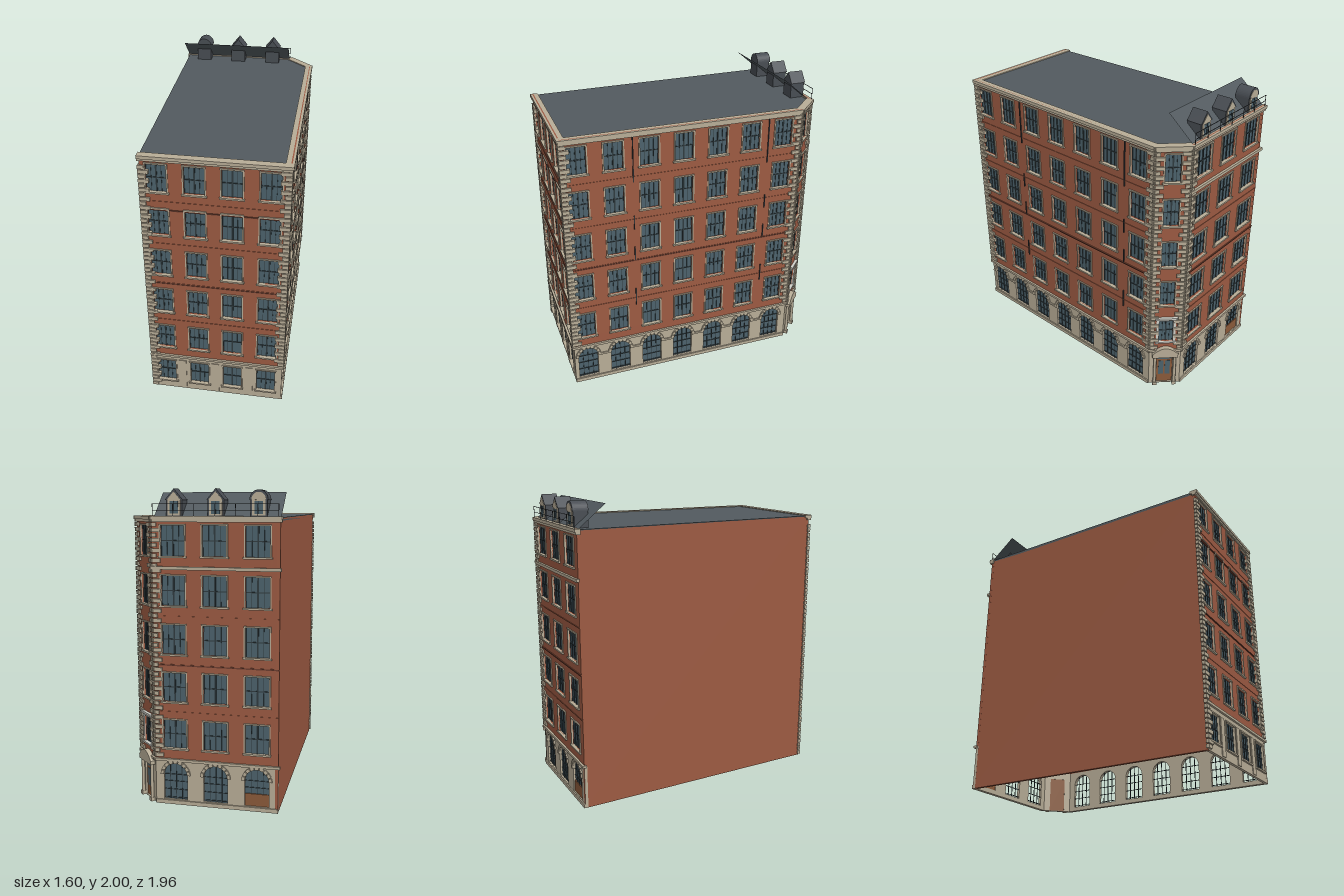
import * as THREE from 'three';
import { mergeGeometries } from 'three/addons/utils/BufferGeometryUtils.js';

const COLORS = {
  brick: 0x9c5a42, darkBrick: 0x6b3d2f, stone: 0xb8ad97, glass: 0x4c626c, frame: 0x2f3a3e,
  roof: 0x525a5f, dormer: 0x484d53, wood: 0x8a5a3a, metal: 0x303336, whiteStone: 0xd0d0c8,
};
const mats = {};
for (const k in COLORS) mats[k] = new THREE.MeshStandardMaterial({ color: COLORS[k] });
mats.roof.side = THREE.DoubleSide;

// Footprint corners (x, z), anticlockwise seen from above
const A = [-0.055, 0.955], B = [0.775, 0.61], C = [0.14, -0.885], D = [-0.06, -0.965], E = [-0.79, -0.645];
const TOP = 1.825, BASE = 0.3, PITCH = 0.305;

// Collects geometry by part name and colour, merging each into one mesh
class Facade {
  constructor(name, p, q) {
    this.group = new THREE.Group();
    this.group.name = name;
    const dx = q[0] - p[0], dz = q[1] - p[1];
    this.len = Math.hypot(dx, dz);
    this.group.position.set(p[0], 0, p[1]);
    this.group.rotation.y = Math.atan2(-dz, dx);
    this.parts = new Map();
    this.holes = [];
  }
  add(name, color, geo) {
    const key = name + '|' + color;
    if (!this.parts.has(key)) this.parts.set(key, []);
    this.parts.get(key).push(geo.index ? geo.toNonIndexed() : geo);
  }
  box(name, color, x0, x1, y0, y1, z0, z1) {
    const g = new THREE.BoxGeometry(x1 - x0, y1 - y0, z1 - z0);
    this.add(name, color, g.translate((x0 + x1) / 2, (y0 + y1) / 2, (z0 + z1) / 2));
  }
  wall(color, y0, y1) {
    const s = rectPath(new THREE.Shape(), 0, this.len, y0, y1);
    s.holes = this.holes.filter(h => h.y >= y0 && h.y < y1).map(h => h.path);
    const g = new THREE.ExtrudeGeometry(s, { depth: 0.02, bevelEnabled: false, curveSegments: 8 });
    this.add('wall', color, g.translate(0, 0, -0.02));
  }
  finish() {
    for (const [key, geos] of this.parts) {
      const [name, color] = key.split('|');
      const m = new THREE.Mesh(mergeGeometries(geos), mats[color]);
      m.name = name;
      this.group.add(m);
    }
    return this.group;
  }
}

function rectPath(p, x0, x1, y0, y1) {
  p.moveTo(x0, y0); p.lineTo(x1, y0); p.lineTo(x1, y1); p.lineTo(x0, y1); p.closePath();
  return p;
}

// Sash window with glazing bars, surround and sill
function addWindow(f, cx, y0, y1, w, trim = 'stone', t = 0.009) {
  const x0 = cx - w / 2, x1 = cx + w / 2;
  f.holes.push({ y: y0, path: rectPath(new THREE.Path(), x0, x1, y0, y1) });
  f.box('windowGlass', 'glass', x0, x1, y0, y1, -0.018, -0.013);
  const bar = (a, b, c, d) => f.box('windowBars', 'frame', a, b, c, d, -0.014, -0.009);
  const ym = (y0 + y1) / 2;
  bar(cx - 0.005, cx + 0.005, y0, y1);
  bar(x0, x1, ym - 0.003, ym + 0.003);
  for (const s of [-1, 1]) {
    bar(cx + s * w / 2 - 0.003, cx + s * w / 2 + 0.003, y0, y1);
    bar(cx + s * w / 4 - 0.0012, cx + s * w / 4 + 0.0012, y0, y1);
    const e = cx + s * (w + t) / 2;
    f.box('windowSurround', trim, e - t / 2, e + t / 2, y0, y1 + t, -0.005, 0.006);
  }
  f.box('windowSurround', trim, x0 - t, x1 + t, y1, y1 + t, -0.005, 0.008);
  f.box('windowSill', trim, x0 - t - 0.006, x1 + t + 0.006, y0 - 0.011, y0, -0.015, 0.013);
}

// Round-headed shop window with a ring of wedge stones
function addArch(f, cx, w, panel) {
  const r = w / 2, y0 = 0.03, ys = 0.273 - r;
  const outline = p => { p.moveTo(cx - r, y0); p.lineTo(cx + r, y0); p.lineTo(cx + r, ys); p.absarc(cx, ys, r, 0, Math.PI); p.closePath(); return p; };
  f.holes.push({ y: y0, path: outline(new THREE.Path()) });
  f.add('archGlass', 'glass', new THREE.ShapeGeometry(outline(new THREE.Shape()), 8).translate(0, 0, -0.015));
  for (let i = -1; i <= 1; i++) f.box('archBars', 'frame', cx + i * r * 0.5 - 0.002, cx + i * r * 0.5 + 0.002, y0, ys + r * (i ? 0.85 : 1), -0.015, -0.01);
  for (const y of [0.04, 0.095, 0.15, ys]) f.box('archBars', 'frame', cx - r, cx + r, y - 0.002, y + 0.002, -0.015, -0.01);
  if (panel) f.box('woodPanel', 'wood', cx - r, cx + r, y0, 0.11, -0.016, -0.008);
  const n = 9;
  for (let i = 0; i < n; i++) {
    const a = i * Math.PI / n + 0.03, b = (i + 1) * Math.PI / n - 0.03, R = r + (i === 4 ? 0.027 : 0.021);
    const s = new THREE.Shape();
    s.absarc(cx, ys, R, a, b, false);
    s.absarc(cx, ys, r, b, a, true);
    f.add('archStones', 'stone', new THREE.ExtrudeGeometry(s, { depth: 0.012, bevelEnabled: false, curveSegments: 2 }).translate(0, 0, -0.002));
  }
}

// Alternating long and short corner blocks; side 0 = start, 1 = end of the wall
function addQuoins(f, side, y0, phase) {
  for (let i = 0, y = y0; y < TOP - 0.05; i++, y += 0.031) {
    const l = (i + phase) % 2 ? 0.055 : 0.03, h = 0.024;
    const x = side ? f.len : 0, s = side ? -1 : 1;
    f.box('cornerStones', 'stone', Math.min(x - s * 0.01, x + s * l), Math.max(x - s * 0.01, x + s * l), y, y + h, -0.01, 0.011);
  }
}

// Ledge above the ground floor and coping at the roof edge
function addLedges(f, inward) {
  const a = -0.011, b = f.len + 0.011;
  f.box('groundCornice', 'stone', a, b, 0.288, 0.305, -0.01, 0.014);
  f.box('roofCornice', 'stone', a, b, 1.8, 1.815, -0.02, 0.011);
  f.box('roofCoping', 'stone', a, b, 1.815, 1.836, -inward, 0.017);
}

function addFloors(f, xs, w, first = 0) {
  for (let i = first; i < 5; i++) for (const x of xs) addWindow(f, x, 0.375 + i * PITCH, 0.56 + i * PITCH, w);
}

// Thin brick courses and dark string lines
function addCourses(f, dark) {
  for (let i = 0; i < 5; i++) {
    const y = 0.61 + i * PITCH;
    f.box('brickCourse', 'brick', 0, f.len, y, y + 0.006, -0.005, 0.003);
  }
  for (const y of dark) f.box('stringCourse', 'darkBrick', 0, f.len, y - 0.004, y + 0.004, -0.005, 0.006);
}

function addPipe(f, x) {
  for (const [y0, y1] of [[0.56, 0.69], [0.92, 1.02], [1.15, 1.25], [1.49, 1.8]]) f.box('drainPipe', 'metal', x - 0.003, x + 0.003, y0, y1, 0, 0.007);
}

function addDormer(f, u, round) {
  const hw = 0.056, z0 = -0.11, z1 = -0.012, yb = 1.932;
  f.box('dormerBody', 'dormer', u - hw + 0.005, u + hw - 0.005, 1.83, yb, z0, z1);
  const roofShape = (x, h) => {
    const s = new THREE.Shape();
    s.moveTo(u + x, yb);
    if (round) s.absellipse(u, yb, x, h, 0, Math.PI); else { s.lineTo(u, yb + h); s.lineTo(u - x, yb); }
    s.closePath();
    return s;
  };
  const ext = (s, d, z) => new THREE.ExtrudeGeometry(s, { depth: d, bevelEnabled: false, curveSegments: 10 }).translate(0, 0, z);
  f.add('dormerRoof', 'dormer', ext(roofShape(hw, round ? 0.06 : 0.068), z1 - z0 + 0.006, z0));
  f.add('dormerGable', 'stone', ext(roofShape(hw - 0.012, round ? 0.046 : 0.05), 0.004, z1 + 0.004));
  f.box('dormerSurround', 'stone', u - 0.04, u + 0.04, 1.84, yb, z1, z1 + 0.006);
  f.box('dormerGlass', 'glass', u - 0.026, u + 0.026, 1.85, yb - 0.008, z1, z1 + 0.008);
  f.box('dormerBars', 'frame', u - 0.002, u + 0.002, 1.85, yb - 0.008, z1, z1 + 0.01);
}

export function createModel() {
  const model = new THREE.Group();
  model.name = 'cornerBuilding';
  const done = f => { f.wall('stone', 0, BASE); f.wall('brick', BASE, TOP); model.add(f.finish()); };

  // Front: four bays with plain stone ground floor
  let f = new Facade('frontFacade', A, B);
  const bays = [0.11, 0.366, 0.62, 0.878].map(t => t * f.len);
  addFloors(f, bays, 0.125);
  for (const x of bays) addWindow(f, x, 0.07, 0.25, 0.125);
  for (const t of [0.235, 0.49, 0.75]) f.box('pilaster', 'stone', t * f.len - 0.025, t * f.len + 0.025, 0.01, 0.26, -0.005, 0.005);
  addQuoins(f, 0, 0.01, 0);
  addQuoins(f, 1, 0.315, 0);
  addCourses(f, [0.915, 1.47]);
  addLedges(f, 0.035);
  done(f);

  // Long street side: seven bays over arches
  f = new Facade('longFacade', B, C);
  const long = [...Array(7)].map((_, i) => 0.097 + i * 0.2338);
  addFloors(f, long, 0.122);
  for (const x of long) addArch(f, x, 0.138);
  for (let i = 0; i < 6; i++) f.box('springBand', 'stone', long[i] + 0.072, long[i + 1] - 0.072, 0.198, 0.212, -0.005, 0.009);
  f.box('plinth', 'stone', 0, f.len, 0, 0.026, -0.005, 0.008);
  addQuoins(f, 0, 0.315, 1);
  addQuoins(f, 1, 0.315, 0);
  addCourses(f, [0.915]);
  addPipe(f, 0.455);
  addPipe(f, 1.39);
  addLedges(f, 0.035);
  done(f);

  // Cut corner with entrance
  f = new Facade('entranceFacade', C, D);
  const m = f.len / 2;
  addFloors(f, [m], 0.095, 1);
  addWindow(f, m, 0.375, 0.55, 0.095, 'whiteStone', 0.018);
  f.box('windowHood', 'whiteStone', m - 0.075, m + 0.075, 0.566, 0.58, -0.005, 0.02);
  f.holes.push({ y: 0.004, path: rectPath(new THREE.Path(), m - 0.055, m + 0.055, 0.004, 0.25) });
  f.box('door', 'wood', m - 0.055, m + 0.055, 0.004, 0.25, -0.018, -0.012);
  f.box('doorGlass', 'glass', m - 0.04, m - 0.005, 0.07, 0.19, -0.014, -0.01);
  f.box('doorGlass', 'glass', m + 0.005, m + 0.04, 0.07, 0.19, -0.014, -0.01);
  f.box('doorGlass', 'glass', m - 0.05, m + 0.05, 0.205, 0.245, -0.014, -0.01);
  for (const s of [-1, 1]) {
    f.add('doorColumn', 'stone', new THREE.CylinderGeometry(0.01, 0.011, 0.24, 10).translate(m + s * 0.068, 0.13, 0.012));
    f.box('columnFoot', 'stone', m + s * 0.068 - 0.014, m + s * 0.068 + 0.014, 0, 0.025, 0, 0.026);
  }
  f.box('doorLintel', 'stone', m - 0.088, m + 0.088, 0.25, 0.275, -0.005, 0.03);
  const ped = new THREE.Shape();
  ped.moveTo(m - 0.09, 0.275); ped.lineTo(m + 0.09, 0.275); ped.quadraticCurveTo(m, 0.385, m - 0.09, 0.275);
  f.add('doorPediment', 'stone', new THREE.ExtrudeGeometry(ped, { depth: 0.03, bevelEnabled: false, curveSegments: 10 }));
  addQuoins(f, 0, 0.315, 1);
  addQuoins(f, 1, 0.315, 0);
  addLedges(f, 0.035);
  done(f);

  // Back: three bays over arches, mansard slope with dormers and railing
  f = new Facade('backFacade', D, E);
  const back = [0.165, 0.495, 0.83].map(t => t * f.len);
  addFloors(f, back, 0.15);
  back.forEach((x, i) => addArch(f, x, 0.155, i === 2));
  addQuoins(f, 0, 0.315, 1);
  f.box('plinth', 'stone', 0, f.len, 0, 0.026, -0.005, 0.008);
  f.box('upperCornice', 'stone', -0.01, f.len + 0.01, 1.512, 1.532, -0.005, 0.016);
  addCourses(f, [0.915]);
  addLedges(f, 0.02);
  const rise = 0.152, run = 0.185;
  const slope = new THREE.PlaneGeometry(0.785, Math.hypot(rise, run)).rotateX(-Math.atan2(run, rise));
  f.add('mansardSlope', 'roof', slope.translate(0.407, 1.828 + rise / 2, -0.005 - run / 2));
  [0.142, 0.402, 0.664].forEach((u, i) => addDormer(f, u, i === 2));
  for (let i = 0; i <= 6; i++) {
    const x = 0.01 + i * (f.len - 0.02) / 6;
    f.box('railing', 'metal', x - 0.0015, x + 0.0015, 1.83, 1.91, 0.008, 0.011);
  }
  for (const y of [1.87, 1.908]) f.box('railing', 'metal', 0.01, f.len - 0.01, y, y + 0.003, 0.008, 0.011);
  done(f);

  // Blank party wall
  f = new Facade('partyWall', E, A);
  f.wall('brick', 0, TOP);
  model.add(f.finish());

  // Flat roof
  const plan = new THREE.Shape([A, B, C, D, E].map(([x, z]) => new THREE.Vector2(x, -z)));
  const roof = new THREE.Mesh(new THREE.ExtrudeGeometry(plan, { depth: 0.02, bevelEnabled: false }).rotateX(-Math.PI / 2), mats.roof);
  roof.position.y = 1.81;
  roof.name = 'flatRoof';
  model.add(roof);
  return model;
}
